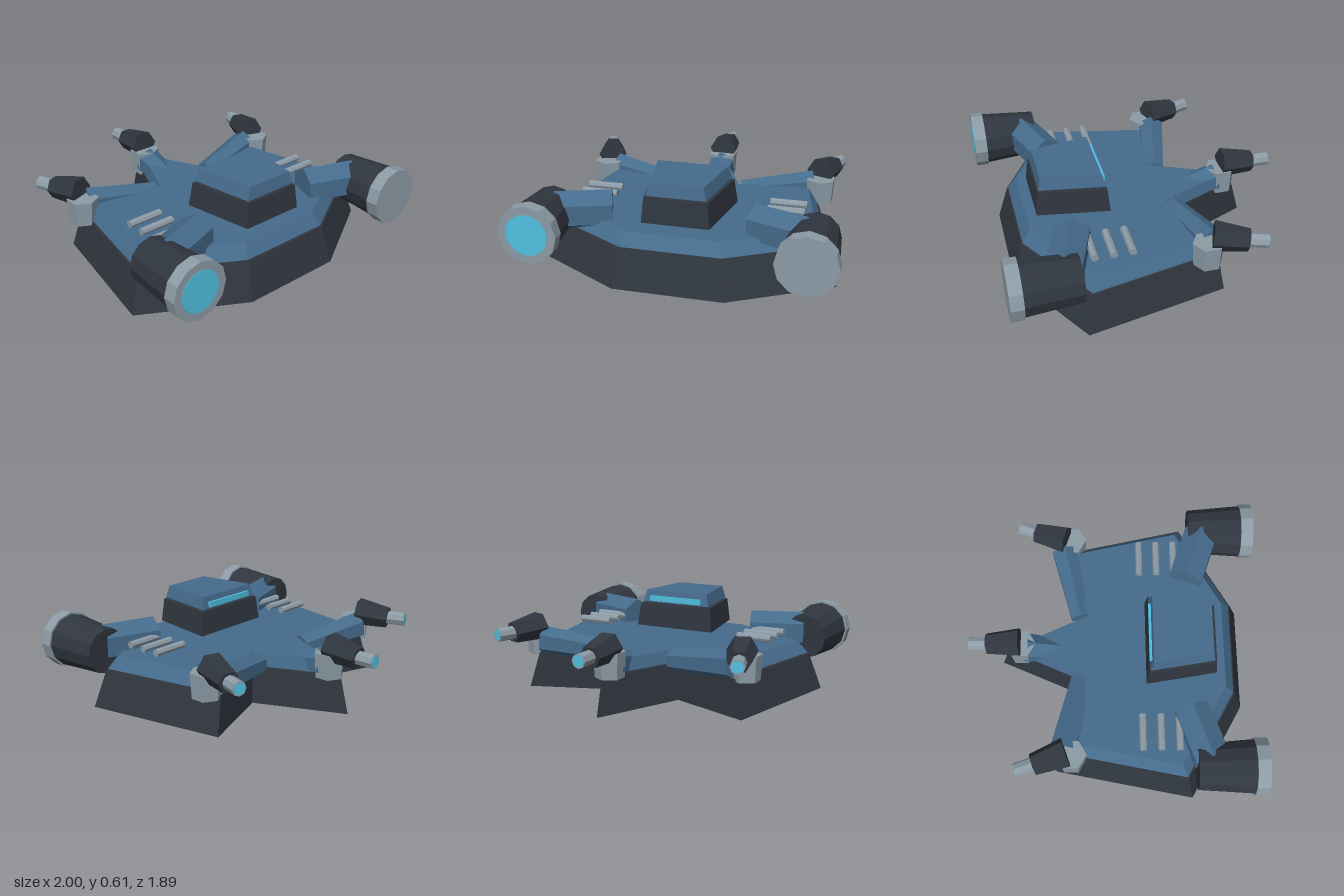
import * as THREE from 'three';

const mat = (color) => new THREE.MeshStandardMaterial({ color, flatShading: true });
const blue = mat(0x456b8c), dark = mat(0x30363f), steel = mat(0x8c9ba6), glow = mat(0x50c0e0);

// Closed solid through stacked rings of [x, z] points, counter-clockwise from above
function loft(rings) {
  const pos = [];
  const tri = (...pts) => pts.forEach((p) => pos.push(...p));
  const lv = rings.map(({ y, pts }) => pts.map(([x, z]) => [x, y, z]));
  const n = lv[0].length;
  for (let k = 0; k + 1 < lv.length; k++) {
    for (let i = 0; i < n; i++) {
      const j = (i + 1) % n, a = lv[k], b = lv[k + 1];
      tri(a[i], a[j], b[j]);
      tri(a[i], b[j], b[i]);
    }
  }
  const flat = rings[0].pts.map(([x, z]) => new THREE.Vector2(x, -z));
  const top = lv[lv.length - 1], bottom = lv[0];
  for (const [a, b, c] of THREE.ShapeUtils.triangulateShape(flat, [])) {
    tri(top[a], top[b], top[c]);
    tri(bottom[a], bottom[c], bottom[b]);
  }
  const g = new THREE.BufferGeometry();
  g.setAttribute('position', new THREE.Float32BufferAttribute(pos, 3));
  g.computeVertexNormals();
  return g;
}

function add(parent, name, geometry, material) {
  const m = new THREE.Mesh(geometry, material);
  m.name = name;
  parent.add(m);
  return m;
}

// Tapered cylinder from point a to point b; an even side count puts an edge on top
function rod(parent, name, a, b, ra, rb, sides, material, twist = 0) {
  const from = new THREE.Vector3(...a), to = new THREE.Vector3(...b);
  const len = from.distanceTo(to);
  const g = new THREE.CylinderGeometry(rb, ra, len, sides, 1, false, twist);
  g.rotateX(Math.PI / 2).translate(0, 0, len / 2);
  const m = add(parent, name, g, material);
  m.position.copy(from);
  m.lookAt(to);
  return m;
}

// Arm, pedestal, body and barrel of one rear gun
function gun(parent, name, armFrom, armTo, base, start, dir) {
  const g = new THREE.Group();
  g.name = name;
  parent.add(g);
  const at = (d, y) => [start[0] + dir[0] * d, y, start[1] + dir[1] * d];
  rod(g, 'gunArm', armFrom, armTo, 0.07, 0.095, 6, blue);
  rod(g, 'gunPedestal', [base[0], 0.215, base[1]], [base[0], 0.375, base[1]], 0.09, 0.1, 6, steel);
  rod(g, 'gunBody', at(0, 0.405), at(0.215, 0.383), 0.095, 0.07, 6, dark, Math.PI / 6);
  rod(g, 'gunBarrel', at(0.2, 0.385), at(0.33, 0.385), 0.045, 0.045, 8, steel);
  rod(g, 'muzzleGlow', at(0.325, 0.385), at(0.333, 0.385), 0.036, 0.036, 8, glow);
}

export function createModel() {
  const root = new THREE.Group();
  root.name = 'armedHull';

  // Hull outline: broad front, two rear corners and a central rear spike
  const half = [[0.34, 0.85], [0.95, 0.5], [0.765, -0.39], [0.25, -0.2]];
  const outline = [...half, [0, -0.76], ...half.slice().reverse().map(([x, z]) => [-x, z])];
  const ring = (y, s) => ({ y, pts: outline.map(([x, z]) => [x * s, z * s]) });
  add(root, 'hull', loft([ring(0, 1), ring(0.233, 0.92)]), dark);
  add(root, 'deck', loft([ring(0.242, 0.91), ring(0.322, 0.845)]), blue);

  // Cabin: dark base and blue roof, each a tapering trapezoid
  const trap = (y, front, zf, rear, zr) =>
    ({ y, pts: [[front, zf], [rear, zr], [-rear, zr], [-front, zf]] });
  add(root, 'cabinBase',
    loft([trap(0.36, 0.21, 0.66, 0.28, 0.205), trap(0.515, 0.195, 0.645, 0.26, 0.22)]), dark);
  add(root, 'cabinRoof',
    loft([trap(0.525, 0.185, 0.635, 0.247, 0.225), trap(0.605, 0.165, 0.62, 0.225, 0.245)]), blue);
  add(root, 'cabinLight', new THREE.BoxGeometry(0.38, 0.035, 0.025), glow).position.set(0, 0.55, 0.232);

  for (const s of [1, -1]) {
    // Front engine pods on six-sided arms
    const x = 0.817 * s, y = 0.333;
    rod(root, 'engineArm', [0.447 * s, 0.355, 0.483], [0.78 * s, 0.355, 0.6], 0.125, 0.125, 6, blue);
    rod(root, 'engineBody', [x, y, 0.51], [x, y, 0.87], 0.145, 0.172, 12, dark);
    rod(root, 'engineCollar', [x, y, 0.86], [x, y, 0.94], 0.183, 0.183, 12, steel);
    if (s < 0) rod(root, 'engineGlow', [x, y, 0.935], [x, y, 0.943], 0.13, 0.13, 16, glow);

    // Deck rods
    for (const z of [0.175, 0.29, 0.405]) {
      rod(root, 'deckRod', [0.485 * s, 0.37, z], [0.715 * s, 0.37, z], 0.024, 0.024, 8, steel);
    }

    // Outer rear guns
    gun(root, 'sideGun', [0.22 * s, 0.265, -0.22], [0.69 * s, 0.315, -0.325],
      [0.74 * s, -0.28], [0.73 * s, -0.31], [0.32 * s, -0.947]);
  }

  // Gun on the central rear spike
  gun(root, 'centerGun', [0, 0.235, -0.3], [0, 0.3, -0.58], [0, -0.61], [0, -0.61], [0, -1]);

  return root;
}
